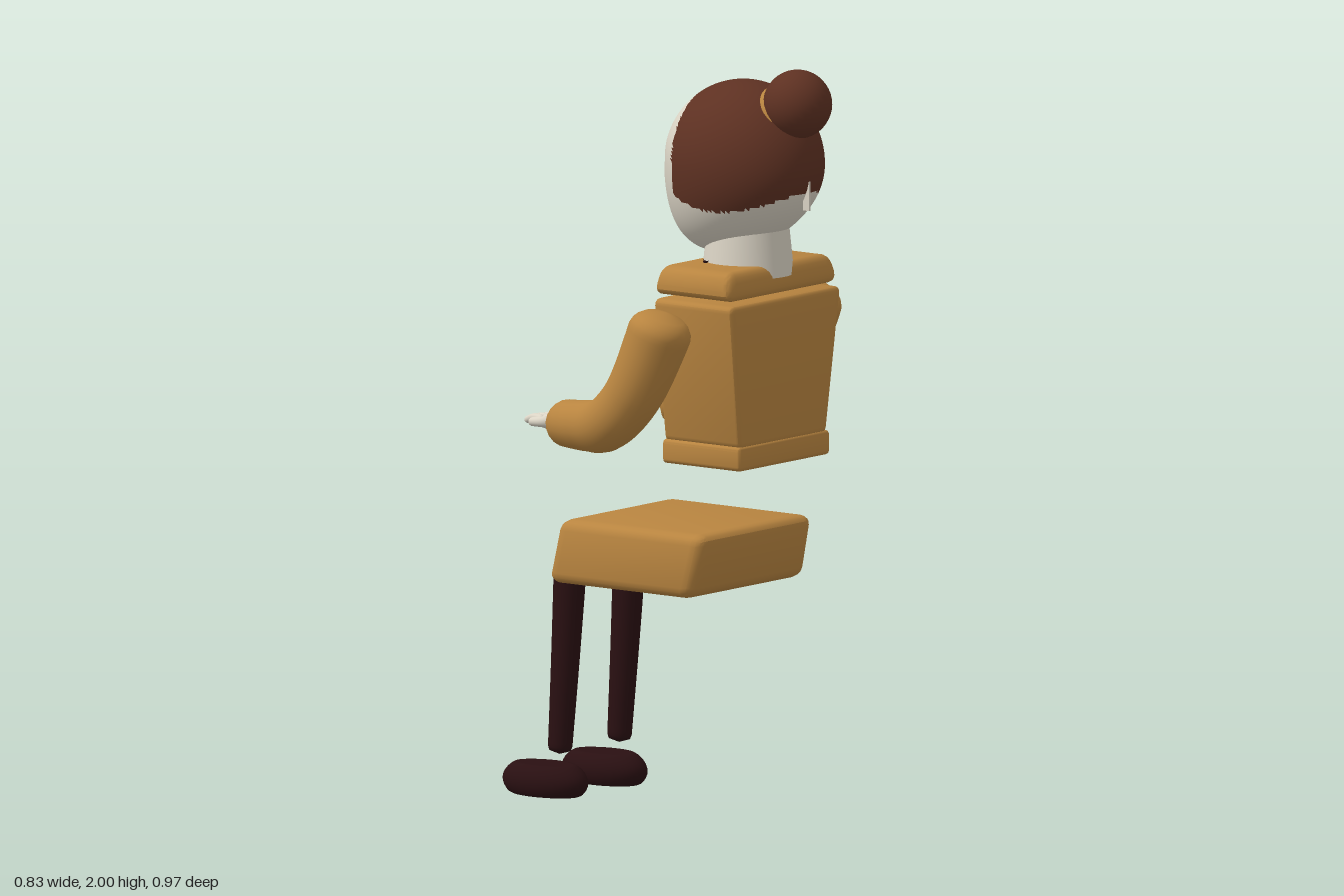
import * as THREE from 'three';
import { mergeVertices, toCreasedNormals } from 'three/addons/utils/BufferGeometryUtils.js';
import { RoundedBoxGeometry } from 'three/addons/geometries/RoundedBoxGeometry.js';

const mat = (name, color) => {
  const m = new THREE.MeshStandardMaterial({ color });
  m.name = name;
  return m;
};
const V = (x, y, z) => new THREE.Vector3(x, y, z);

// Move every vertex by a rule, then weld for smooth normals
function warp(geo, rule) {
  const p = geo.attributes.position, v = V(0, 0, 0);
  for (let i = 0; i < p.count; i++) {
    v.fromBufferAttribute(p, i);
    rule(v, i);
    p.setXYZ(i, v.x, v.y, v.z);
  }
  geo.deleteAttribute('uv');
  geo.deleteAttribute('normal');
  const out = mergeVertices(geo, 1e-5);
  out.computeVertexNormals();
  return out;
}

// Limb with round ends: a tube whose radius runs from r0 to r1
function limb(points, r0, r1, cap = 1) {
  const n = 48, sides = 20;
  const curve = new THREE.CatmullRomCurve3(points);
  const length = curve.getLength();
  const geo = new THREE.TubeGeometry(curve, n, 1, sides);
  return warp(geo, (v, i) => {
    const t = Math.floor(i / (sides + 1)) / n;
    const c = curve.getPointAt(t);
    const r = r0 + (r1 - r0) * t;
    const d = Math.min(1, Math.min(t, 1 - t) * length / (r * cap));
    v.sub(c).multiplyScalar(r * Math.sqrt(Math.max(0, 1 - (1 - d) ** 2))).add(c);
  });
}

// Cushion-like block between two rectangles: [half width, z min, z max]
function block(y0, y1, bottom, top, r) {
  const h = y1 - y0;
  const geo = new RoundedBoxGeometry(0.4, h, 0.4, 2, r);
  const out = warp(geo, v => {
    const t = v.y / h + 0.5;
    const mix = k => bottom[k] + (top[k] - bottom[k]) * t;
    v.set(v.x / 0.2 * mix(0), y0 + t * h, mix(1) + (v.z / 0.4 + 0.5) * (mix(2) - mix(1)));
  });
  return toCreasedNormals(out, 0.5);
}

export function createModel() {
  const root = new THREE.Group();
  root.name = 'seatedFigure';
  const skin = mat('paleSkin', 0xdbd4c5);
  const hair = mat('brownHair', 0x5e3122);
  const cloth = mat('ochreCloth', 0xb98540);
  const dark = mat('darkLeather', 0x2a1012);

  const add = (name, geo, material, pos = [0, 0, 0], parent = root) => {
    const m = new THREE.Mesh(geo, material);
    m.name = name;
    m.position.set(...pos);
    parent.add(m);
    return m;
  };
  const ball = (name, r, scale, material, pos, parent) => {
    const m = add(name, new THREE.SphereGeometry(r, 28, 20), material, pos, parent);
    m.scale.set(...scale);
    return m;
  };

  // Torso blocks and lap
  add('hips', block(0.94, 1.005, [0.197, 0.09, 0.35], [0.197, 0.09, 0.35], 0.012), cloth);
  add('torso', block(0.995, 1.388, [0.188, 0.09, 0.347], [0.242, 0.092, 0.356], 0.02), cloth);
  add('shoulders', block(1.397, 1.475, [0.245, 0.088, 0.35], [0.222, 0.1, 0.335], 0.03), cloth);
  add('lap', block(0.59, 0.765, [0.254, -0.26, 0.225], [0.245, -0.225, 0.265], 0.03), cloth);

  // Head: sphere with the jaw pushed forward and eye sockets pressed in
  const bump = (v, x, y, w, h) => Math.exp(-(((v.x - x) / w) ** 2) - ((v.y - y) / h) ** 2);
  const headGeo = warp(new THREE.SphereGeometry(1, 96, 72), v => {
    const front = v.z < 0;
    v.set(v.x * 0.198, 1.735 + v.y * (v.y < 0 ? 0.245 : 0.222), 0.215 + v.z * 0.222);
    const drop = Math.max(0, 1.735 - v.y);
    v.z -= 1.2 * drop * drop;
    if (front) {
      v.z += 0.014 * (bump(v, 0.065, 1.74, 0.04, 0.025) + bump(v, -0.065, 1.74, 0.04, 0.025));
      v.z -= 0.024 * bump(v, 0, 1.685, 0.018, 0.04);
      v.z -= 0.01 * (bump(v, 0, 1.612, 0.035, 0.009) + bump(v, 0, 1.588, 0.03, 0.009));
    }
  });
  // Hair covers the faces behind the hairline
  const idx = headGeo.index, pos = headGeo.attributes.position, parts = [[], []];
  for (let i = 0; i < idx.count; i += 3) {
    const tri = [idx.getX(i), idx.getX(i + 1), idx.getX(i + 2)];
    const y = tri.reduce((s, k) => s + pos.getY(k) / 3, 0);
    const z = tri.reduce((s, k) => s + pos.getZ(k) / 3, 0);
    const isHair = z > 0.1 && y > 1.625 + 1.6 * (z - 0.25) ** 2;
    parts[isHair ? 1 : 0].push(...tri);
  }
  headGeo.setIndex(parts.flat());
  headGeo.addGroup(0, parts[0].length, 0);
  headGeo.addGroup(parts[0].length, parts[1].length, 1);
  add('head', headGeo, [skin, hair]);
  add('napeRidge', new THREE.BoxGeometry(0.008, 0.085, 0.02), skin, [0, 1.668, 0.424]);
  add('neck', new THREE.CylinderGeometry(0.108, 0.122, 0.14, 40), skin, [0, 1.51, 0.227]);

  // Bun with its band
  ball('bun', 0.092, [1, 1, 1], hair, [0, 1.908, 0.393]);
  const band = add('bunBand', new THREE.TorusGeometry(0.073, 0.012, 12, 40), cloth, [0, 1.877, 0.352]);
  band.lookAt(0, 1.908, 0.393);

  // Camera hanging on the chest
  add('cameraBody', new RoundedBoxGeometry(0.15, 0.08, 0.065, 2, 0.006), dark, [0, 1.153, 0.042]);
  const lens = add('cameraLens', new THREE.CylinderGeometry(0.031, 0.031, 0.055, 28), skin, [0, 1.145, -0.015]);
  lens.rotation.x = Math.PI / 2;
  ball('button', 0.011, [1, 1, 1], skin, [0, 1.27, 0.083]);

  for (const s of [1, -1]) {
    const side = s > 0 ? 'left' : 'right';
    add(side + 'Strap', new THREE.TubeGeometry(
      new THREE.LineCurve3(V(s * 0.072, 1.17, 0.045), V(s * 0.11, 1.483, 0.172)), 1, 0.007, 8), dark);

    // Arm
    add(side + 'Arm', limb([V(s * 0.32, 1.37, 0.2), V(s * 0.326, 1.29, 0.172), V(s * 0.335, 1.14, 0.1),
      V(s * 0.328, 1.055, 0.01), V(s * 0.277, 1.032, -0.1), V(s * 0.212, 1.02, -0.238)], 0.088, 0.062, 0.7), cloth);

    // Hand: palm, four fingers and a thumb on the outer side
    const hand = new THREE.Group();
    hand.name = side + 'Hand';
    hand.position.set(s * 0.175, 1.012, -0.28);
    hand.rotation.y = s * 0.35;
    root.add(hand);
    ball('wrist', 0.03, [1.2, 0.85, 1.1], skin, [0, 0, 0.025], hand);
    ball('palm', 0.045, [1, 0.48, 1.05], skin, [0, 0, -0.015], hand);
    for (let i = 0; i < 4; i++) {
      const x = (i - 1.5) * 0.021;
      const reach = -0.098 - (i === 1 || i === 2 ? 0.008 : 0);
      add('finger', limb([V(x * 0.9, 0.004, -0.015), V(x, 0.006, -0.06), V(x * 1.1, -0.006, reach)],
        0.014, 0.009), skin, [0, 0, 0], hand);
    }
    add('thumb', limb([V(s * 0.01, 0, 0.02), V(s * 0.045, 0.004, 0.005), V(s * 0.06, 0, -0.04)],
      0.018, 0.011), skin, [0, 0, 0], hand);

    // Leg and flat-soled shoe
    add(side + 'Leg', limb([V(s * 0.128, 0.628, -0.27), V(s * 0.128, 0.37, -0.287), V(s * 0.128, 0.112, -0.306)],
      0.044, 0.032, 0.6), dark);
    add(side + 'Shoe', warp(new THREE.SphereGeometry(1, 32, 24), v => {
      v.set(s * 0.128 + v.x * 0.077, THREE.MathUtils.clamp(0.037 + v.y * 0.066, 0, 0.083), -0.354 + v.z * 0.131);
    }), dark);
  }
  return root;
}
